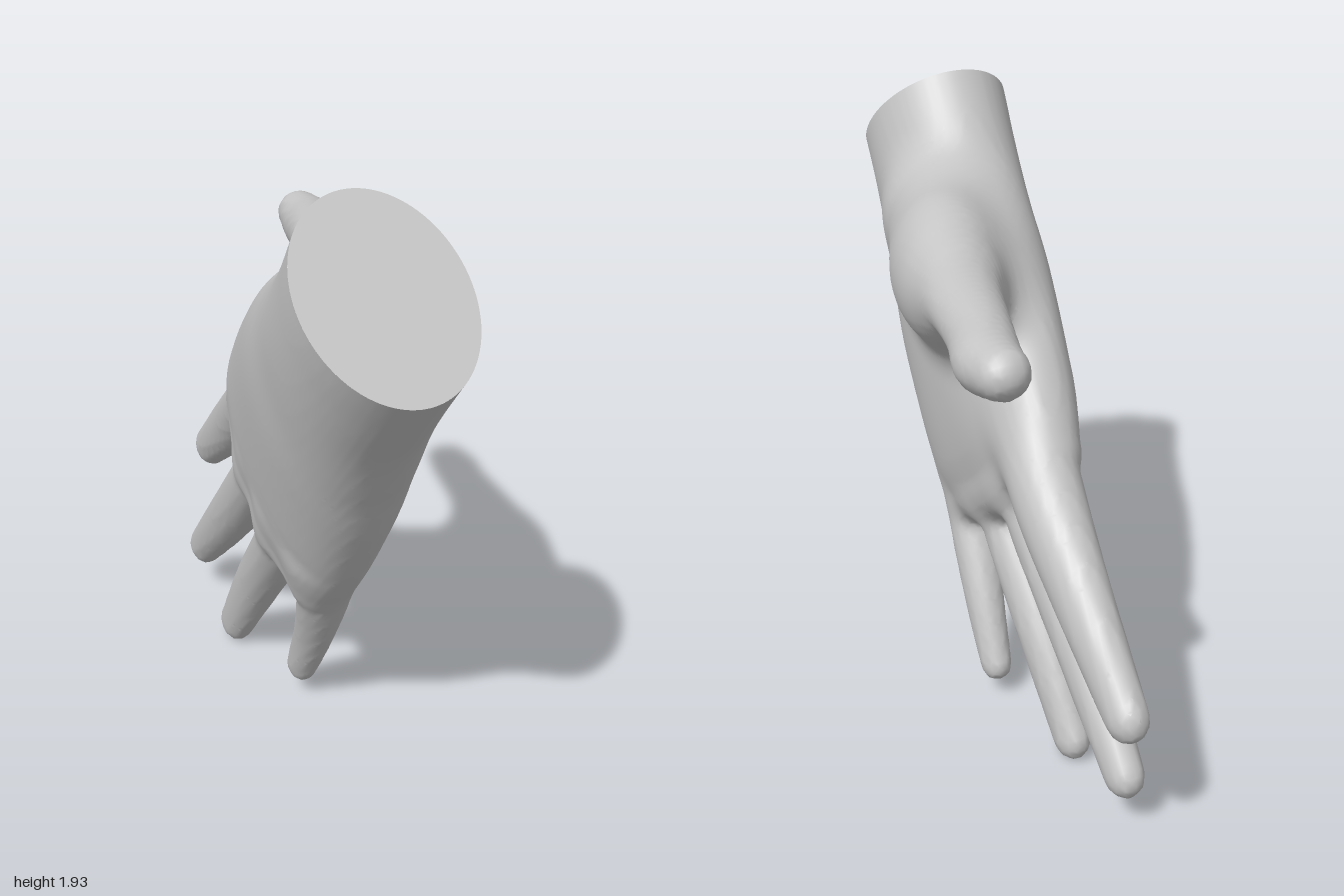
import * as THREE from 'three';

// Each part is a limb with oval sections along a centre line. Rows are
// [x, y, z, halfWidth, halfThickness, roundness (2 = oval, more = boxier)].
// blend is how softly the part melts into the others; blunt flattens its end.
const PARTS = {
  wristAndPalm: { blend: 0, blunt: 3.1, rows: [
    [-0.135, 1.89, 0.9, 0.298, 0.23, 2],
    [-0.13, 1.745, 0.775, 0.298, 0.23, 2],
    [-0.12, 1.62, 0.665, 0.3, 0.226, 2],
    [-0.107, 1.507, 0.56, 0.308, 0.222, 2.1],
    [-0.09, 1.395, 0.45, 0.34, 0.217, 2.2],
    [-0.07, 1.245, 0.3, 0.395, 0.212, 2.2],
    [-0.052, 1.035, 0.115, 0.435, 0.184, 2.3],
    [-0.045, 0.905, 0.015, 0.432, 0.16, 2.4],
    [-0.045, 0.82, -0.05, 0.41, 0.132, 2.4],
  ] },
  thumb: { blend: 0.13, blunt: 1, rows: [
    [0.015, 1.525, 0.44, 0.14, 0.125, 2],
    [0.08, 1.475, 0.2, 0.21, 0.165, 2],
    [0.115, 1.457, 0.02, 0.205, 0.17, 2],
    [0.15, 1.468, -0.135, 0.152, 0.138, 2],
    [0.19, 1.486, -0.27, 0.096, 0.11, 2],
    [0.225, 1.475, -0.44, 0.088, 0.094, 2],
    [0.262, 1.46, -0.58, 0.088, 0.094, 2],
    [0.27, 1.468, -0.69, 0.072, 0.074, 2],
  ] },
  indexFinger: { blend: 0.06, blunt: 1, rows: [
    [-0.045, 1.13, -0.15, 0.12, 0.105, 2],
    [-0.002, 0.945, -0.385, 0.118, 0.106, 2],
    [0.015, 0.748, -0.655, 0.102, 0.083, 2],
    [0.012, 0.525, -0.93, 0.074, 0.06, 2],
  ] },
  middleFinger: { blend: 0.06, blunt: 1, rows: [
    [-0.07, 0.93, -0.06, 0.095, 0.105, 2],
    [-0.06, 0.75, -0.23, 0.098, 0.102, 2],
    [-0.07, 0.45, -0.52, 0.09, 0.079, 2],
    [-0.075, 0.195, -0.78, 0.072, 0.058, 2],
  ] },
  ringFinger: { blend: 0.06, blunt: 1, rows: [
    [-0.075, 0.82, 0.1, 0.088, 0.105, 2],
    [-0.062, 0.63, -0.03, 0.09, 0.098, 2],
    [-0.07, 0.355, -0.24, 0.087, 0.079, 2],
    [-0.085, 0.075, -0.43, 0.072, 0.056, 2],
  ] },
  littleFinger: { blend: 0.06, blunt: 1, rows: [
    [-0.06, 0.73, 0.28, 0.085, 0.1, 2],
    [-0.027, 0.55, 0.2, 0.077, 0.088, 2],
    [-0.005, 0.32, 0.073, 0.07, 0.065, 2],
    [0, 0.122, -0.037, 0.058, 0.05, 2],
  ] },
};

// Flat cut of the wrist, and the frame it sets: across the palm, through it, and along the hand
const CUT = { centre: new THREE.Vector3(-0.13, 1.745, 0.775), halfWidth: 0.298, halfThickness: 0.23 };
const ACROSS = new THREE.Vector3(0, 0.655, -0.756).normalize();
const THROUGH = new THREE.Vector3(1, 0, 0);
const ALONG = new THREE.Vector3().crossVectors(ACROSS, THROUGH);

// Signed distance to one limb, measured from the nearest point of its centre line
function limbDistance({ rows, blunt }) {
  const line = new THREE.CatmullRomCurve3(rows.map(r => new THREE.Vector3(r[0], r[1], r[2])), false, 'catmullrom');
  const size = new THREE.CatmullRomCurve3(rows.map(r => new THREE.Vector3(r[3], r[4], r[5])), false, 'catmullrom');
  const n = (rows.length - 1) * 6;
  const at = Array.from({ length: n + 1 }, (_, i) => ({ c: line.getPoint(i / n), s: size.getPoint(i / n) }));
  return (x, y, z) => {
    let best = Infinity, seg = 0, part = 0;
    for (let i = 0; i < n; i++) {
      const a = at[i].c, b = at[i + 1].c, dy = b.y - a.y, dz = b.z - a.z;
      const t = Math.min(1, Math.max(0, ((y - a.y) * dy + (z - a.z) * dz) / (dy * dy + dz * dz)));
      const d = (y - a.y - dy * t) ** 2 + (z - a.z - dz * t) ** 2;
      if (d < best) { best = d; seg = i; part = t; }
    }
    const a = at[seg], b = at[seg + 1], mix = (p, q) => p + (q - p) * part;
    let side = Math.sqrt(best);
    if (seg === n - 1 && part === 1) {
      const dy = b.c.y - a.c.y, dz = b.c.z - a.c.z;
      const over = ((y - b.c.y) * dy + (z - b.c.z) * dz) / Math.hypot(dy, dz);
      side = Math.sqrt(Math.max(0, best - over * over) + (over * blunt) ** 2);
    }
    const w = mix(a.s.x, b.s.x), h = mix(a.s.y, b.s.y), p = mix(a.s.z, b.s.z);
    const u = side / w, v = Math.abs(x - mix(a.c.x, b.c.x)) / h;
    const k = Math.max(1e-3, (u ** p + v ** p) ** (1 / p));
    const slope = Math.hypot((u / k) ** (p - 1) / w, (v / k) ** (p - 1) / h);
    return (k - 1) / Math.max(slope, 0.5);
  };
}

// Skin all limbs as one smooth surface on a grid that starts at the wrist cut
function skinGeometry(limbs) {
  const blends = Object.values(PARTS).map(p => p.blend);
  const field = p => limbs.reduce((sum, limb, i) => {
    const d = limb(p.x, p.y, p.z);
    if (i === 0) return d;
    const overlap = Math.max(blends[i] - Math.abs(sum - d), 0) / blends[i];
    return Math.min(sum, d) - overlap * overlap * blends[i] / 4;
  }, 0);
  const cell = 0.02, low = [-0.6, -0.32, 0], count = [88, 46, 118];
  const stride = [1, count[0], count[0] * count[1]];
  const place = (u, v, w) => CUT.centre.clone().addScaledVector(ACROSS, low[0] + u * cell)
    .addScaledVector(THROUGH, low[1] + v * cell).addScaledVector(ALONG, low[2] + w * cell);
  const value = new Float32Array(count[0] * count[1] * count[2]);
  const each = (margin, visit) => {
    for (let w = 0; w < count[2] - margin; w++)
      for (let v = 0; v < count[1] - margin; v++)
        for (let u = 0; u < count[0] - margin; u++) visit([u, v, w], u + v * stride[1] + w * stride[2]);
  };
  each(0, (g, s) => { value[s] = field(place(...g)); });

  // One vertex in every cell the surface passes through
  const vertexOf = new Map(), positions = [];
  each(1, (g, s) => {
    const sum = [0, 0, 0];
    let hits = 0;
    for (let d = 0; d < 3; d++) {
      const b = (d + 1) % 3, c = (d + 2) % 3;
      for (let corner = 0; corner < 4; corner++) {
        const ob = corner & 1, oc = corner >> 1;
        const from = s + ob * stride[b] + oc * stride[c];
        const f0 = value[from], f1 = value[from + stride[d]];
        if (f0 < 0 === f1 < 0) continue;
        sum[d] += f0 / (f0 - f1);
        sum[b] += ob;
        sum[c] += oc;
        hits++;
      }
    }
    if (!hits) return;
    const q = g.map((base, d) => base + sum[d] / hits);
    if (g[2] === 0) {
      // Pull the first ring onto the oval rim of the cut
      const e = (low[0] + q[0] * cell) / CUT.halfWidth, x = (low[1] + q[1] * cell) / CUT.halfThickness;
      const r = Math.hypot(e, x);
      q[0] = (e / r * CUT.halfWidth - low[0]) / cell;
      q[1] = (x / r * CUT.halfThickness - low[1]) / cell;
      q[2] = 0;
    }
    vertexOf.set(s, positions.length / 3);
    positions.push(...place(...q).toArray());
  });

  // One quad around every grid edge that crosses the surface
  const index = [];
  each(1, (g, s) => {
    for (let d = 0; d < 3; d++) {
      const b = (d + 1) % 3, c = (d + 2) % 3;
      const inside = value[s] < 0;
      if (inside === value[s + stride[d]] < 0 || g[b] < 1 || g[c] < 1) continue;
      const quad = [s, s - stride[b], s - stride[b] - stride[c], s - stride[c]].map(k => vertexOf.get(k));
      if (!inside) quad.reverse();
      index.push(quad[0], quad[1], quad[2], quad[0], quad[2], quad[3]);
    }
  });
  const geo = new THREE.BufferGeometry();
  geo.setAttribute('position', new THREE.Float32BufferAttribute(positions, 3));
  geo.setIndex(index);
  geo.computeVertexNormals();
  return geo;
}

export function createModel() {
  const hand = new THREE.Group();
  hand.name = 'hand';
  const skin = new THREE.MeshStandardMaterial({ color: 0xc4c4c4 });
  skin.name = 'plain grey';
  const add = (name, geo) => {
    const mesh = new THREE.Mesh(geo, skin);
    mesh.name = name;
    hand.add(mesh);
  };

  // Divide the smooth skin into its named parts by the nearest limb
  const names = Object.keys(PARTS), limbs = Object.values(PARTS).map(limbDistance);
  const whole = skinGeometry(limbs), pos = whole.attributes.position, faces = whole.index.array;
  const split = names.map(() => []);
  for (let f = 0; f < faces.length; f += 3) {
    const v = faces[f], d = limbs.map(limb => limb(pos.getX(v), pos.getY(v), pos.getZ(v)));
    split[d.indexOf(Math.min(...d))].push(faces[f], faces[f + 1], faces[f + 2]);
  }
  names.forEach((name, i) => add(name, whole.clone().setIndex(split[i]).toNonIndexed()));

  // Flat end of the wrist
  const cut = new THREE.CircleGeometry(1, 96).scale(CUT.halfThickness, CUT.halfWidth, 1);
  cut.applyMatrix4(new THREE.Matrix4().makeBasis(THROUGH, ACROSS, ALONG.clone().negate()).setPosition(CUT.centre));
  add('wristCut', cut);
  return hand;
}
